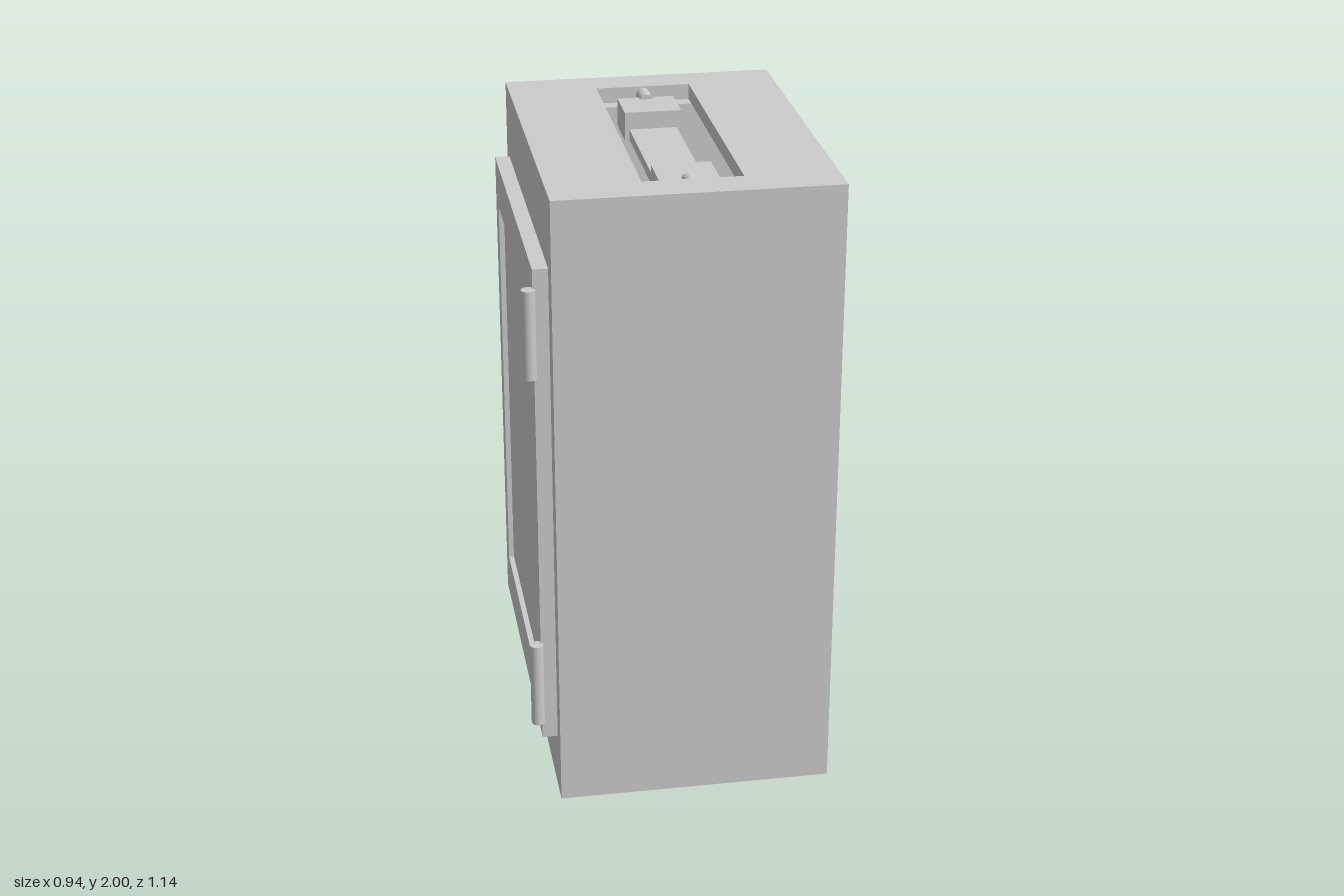
import * as THREE from 'three';

const material = new THREE.MeshStandardMaterial({ color: 0xcccccc });

export function createModel() {
  const model = new THREE.Group();
  const add = (name, geometry) => {
    const mesh = new THREE.Mesh(geometry, material);
    mesh.name = name;
    model.add(mesh);
    return mesh;
  };
  // Box given by its limits on each axis
  const box = (name, x0, x1, y0, y1, z0, z1) => {
    const mesh = add(name, new THREE.BoxGeometry(x1 - x0, y1 - y0, z1 - z0));
    mesh.position.set((x0 + x1) / 2, (y0 + y1) / 2, (z0 + z1) / 2);
    return mesh;
  };
  const rect = (Type, a0, a1, b0, b1) => new Type([
    new THREE.Vector2(a0, b0), new THREE.Vector2(a1, b0),
    new THREE.Vector2(a1, b1), new THREE.Vector2(a0, b1),
  ]);
  // Rectangular frame extruded along +z
  const frame = (outer, inner, depth) => {
    const shape = rect(THREE.Shape, ...outer);
    shape.holes.push(rect(THREE.Path, ...inner));
    return new THREE.ExtrudeGeometry(shape, { depth, bevelEnabled: false });
  };

  // Hollow cabinet: floor, four walls and a slotted top
  const wall = 0.05;
  const X0 = -0.39, X1 = 0.47, Z = 0.57;
  const outer = [X0, X1, -Z, Z];
  box('cabinetFloor', X0, X1, 0, wall, -Z, Z);
  const walls = add('cabinetWalls', frame(outer,
    [X0 + wall, X1 - wall, -Z + wall, Z - wall], 2 - 2 * wall).rotateX(-Math.PI / 2));
  walls.position.y = wall;
  const top = add('cabinetTop', frame(outer, [-0.11, 0.19, -0.45, 0.453], wall).rotateX(-Math.PI / 2));
  top.position.y = 2 - wall;

  // Door frame on the side, with a slightly sunken panel
  const door = add('doorFrame', frame([-0.505, 0.5, 0.19, 1.77], [-0.435, 0.43, 0.335, 1.625], 0.047)
    .rotateY(-Math.PI / 2));
  door.position.x = X0;
  box('doorPanel', -0.42, X0, 0.33, 1.63, -0.44, 0.435);

  // Hinge barrels
  for (const y of [0.39, 1.57]) {
    const hinge = add('hinge', new THREE.CylinderGeometry(0.021, 0.021, 0.28, 32));
    hinge.position.set(-0.45, y, 0.503);
  }

  // Recessed carrying handle: ledges, pivots, end blocks and grip
  for (const s of [1, -1]) {
    const span = (a, b) => (s > 0 ? [a, b] : [-b, -a]);
    box('handleLedge', -0.11, 0.19, 1.9, 1.95, ...span(0.405, 0.453));
    box('handleBlock', -0.05, 0.13, 1.89, 1.98, ...span(0.25, 0.4));
    const pin = add('handlePivot', new THREE.CylinderGeometry(0.022, 0.022, 0.074, 32).rotateX(Math.PI / 2));
    pin.position.set(0.04, 1.973, s * 0.415);
  }
  box('handleGrip', -0.035, 0.115, 1.89, 1.925, -0.25, 0.25);

  return model;
}
